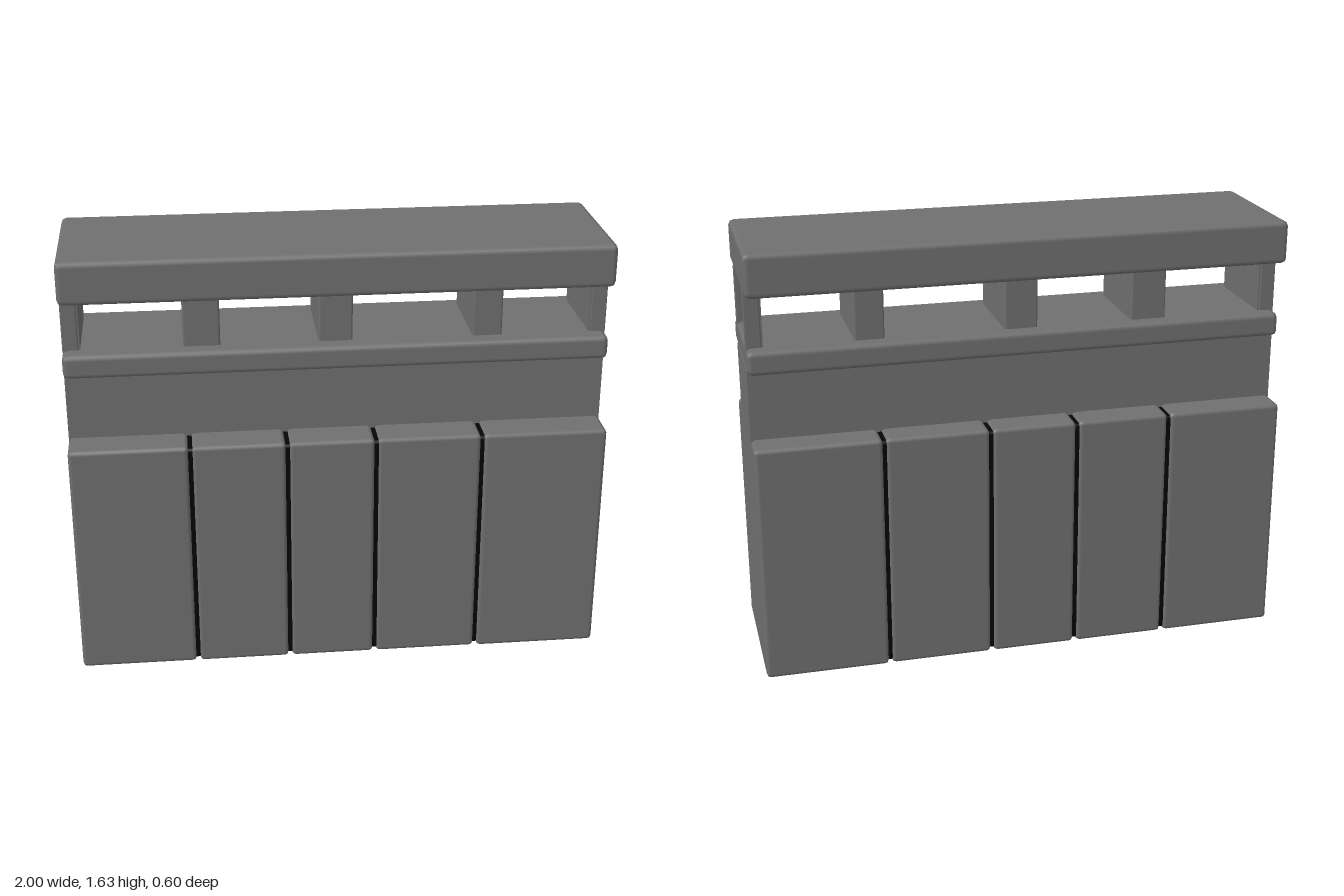
import * as THREE from 'three';
import { RoundedBoxGeometry } from 'three/addons/geometries/RoundedBoxGeometry.js';

export function createModel() {
  const model = new THREE.Group();
  const stone = new THREE.MeshStandardMaterial({ color: 0x707070 });
  const mortar = new THREE.MeshStandardMaterial({ color: 0x050505 });

  // Box given by its min/max on each axis, optionally with chamfered edges
  function block(name, [x0, x1], [y0, y1], [z0, z1], bevel = 0, parent = model, material = stone) {
    const size = [x1 - x0, y1 - y0, z1 - z0];
    const geometry = bevel
      ? new RoundedBoxGeometry(...size, 1, bevel)
      : new THREE.BoxGeometry(...size);
    const mesh = new THREE.Mesh(geometry, material);
    mesh.name = name;
    mesh.position.set((x0 + x1) / 2, (y0 + y1) / 2, (z0 + z1) / 2);
    parent.add(mesh);
  }

  const wallZ = [-0.185, 0.165];

  // Row of base stones of uneven width, with narrow joints between them
  const gap = 0.006;
  const joints = [-1 - gap, -0.556, -0.198, 0.132, 0.53, 1 + gap];
  for (let i = 0; i < joints.length - 1; i++) {
    const depth = i === joints.length - 2 ? 0.3 : 0.297;
    block('baseStone', [joints[i] + gap, joints[i + 1] - gap], [0, 0.915], [-depth, depth], 0.016);
  }
  // Dark mortar just below the surface of each joint
  for (const x of joints.slice(1, -1)) {
    block('mortarJoint', [x - 0.02, x + 0.02], [0.01, 0.905], [-0.287, 0.287], 0.012, model, mortar);
  }

  // Upper wall, ledge and cap
  block('upperWall', [-1, 1], [0.897, 1.18], wallZ);
  block('ledge', [-1, 1], [1.172, 1.262], [-0.241, 0.23], 0.02);
  block('cap', [-1, 1], [1.467, 1.627], [-0.29, 0.273], 0.02);

  // Pillars between ledge and cap
  const pillarY = [1.25, 1.48];
  for (const x of [[-0.565, -0.43], [-0.07, 0.055], [0.5, 0.61]]) {
    block('pillar', x, pillarY, wallZ, 0.008);
  }

  // End posts: a recessed panel with a thin flange at each edge
  for (const s of [-1, 1]) {
    const post = new THREE.Group();
    post.name = 'endPost';
    model.add(post);
    const span = (a, b) => (s > 0 ? [a, b] : [-b, -a]);
    block('endPanel', span(0.936, 0.952), pillarY, [-0.18, 0.16], 0, post);
    block('frontFlange', span(0.942, 1), pillarY, [0.15, 0.165], 0.005, post);
    block('backFlange', span(0.942, 1), pillarY, [-0.185, -0.17], 0.005, post);
  }
  return model;
}
